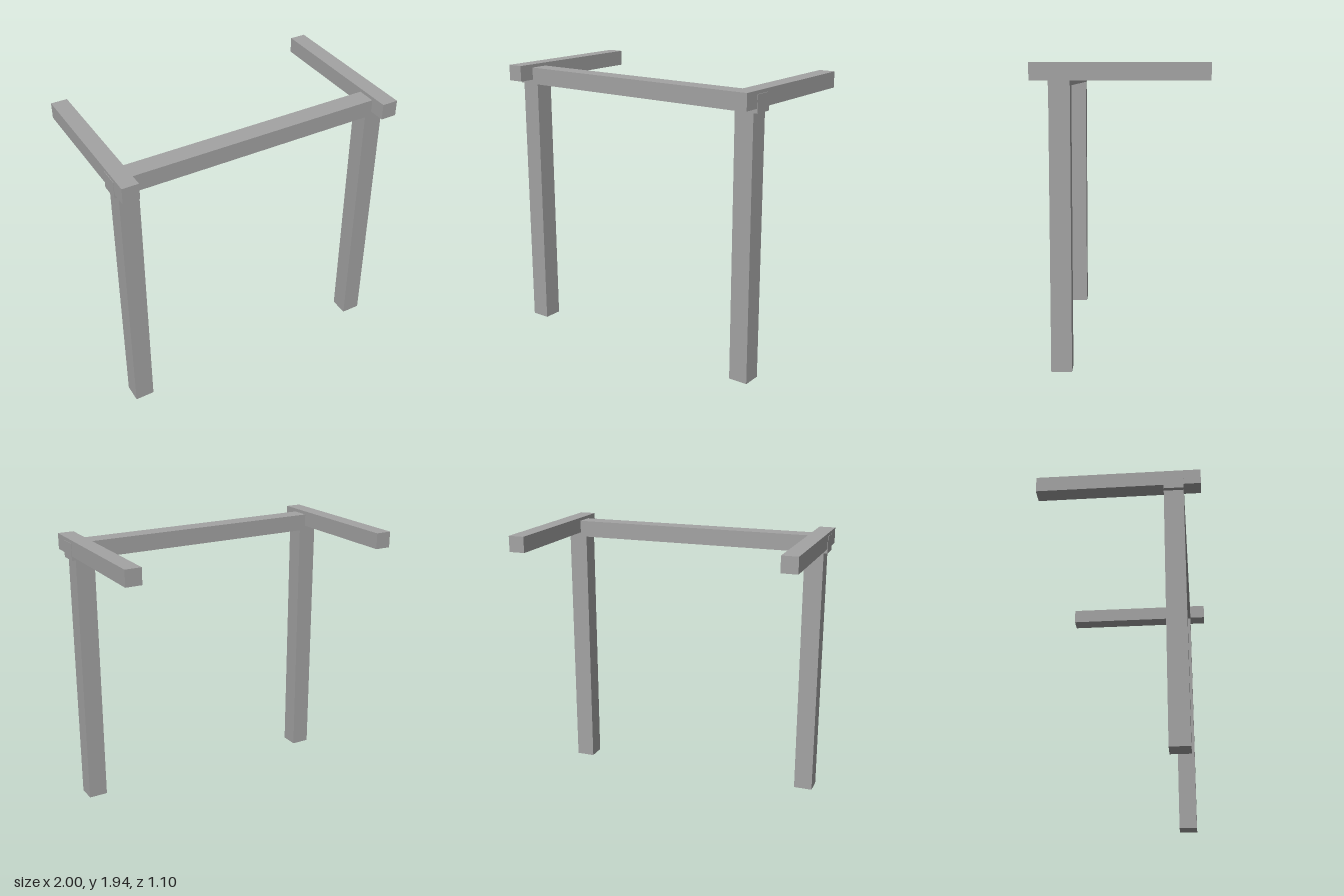
import * as THREE from 'three';

export function createModel() {
  const model = new THREE.Group();
  model.name = 'pergolaFrame';
  const grey = new THREE.MeshStandardMaterial({ color: 0xa3a3a3 });
  grey.name = 'grey';

  // Square timber given by its size and centre
  const timber = (name, size, centre) => {
    const mesh = new THREE.Mesh(new THREE.BoxGeometry(...size), grey);
    mesh.name = name;
    mesh.position.set(...centre);
    model.add(mesh);
  };

  // Cross beam resting on the posts
  timber('crossBeam', [2, 0.117, 0.132], [0, 1.8585, 0.37]);

  // Post and rafter on each side
  for (const [side, s] of [['left', 1], ['right', -1]]) {
    timber(side + 'Post', [0.134, 1.8, 0.132], [s * 0.906, 0.9, 0.37]);
    timber(side + 'Rafter', [0.112, 0.11, 1.104], [s * 0.941, 1.885, 0]);
  }
  return model;
}
